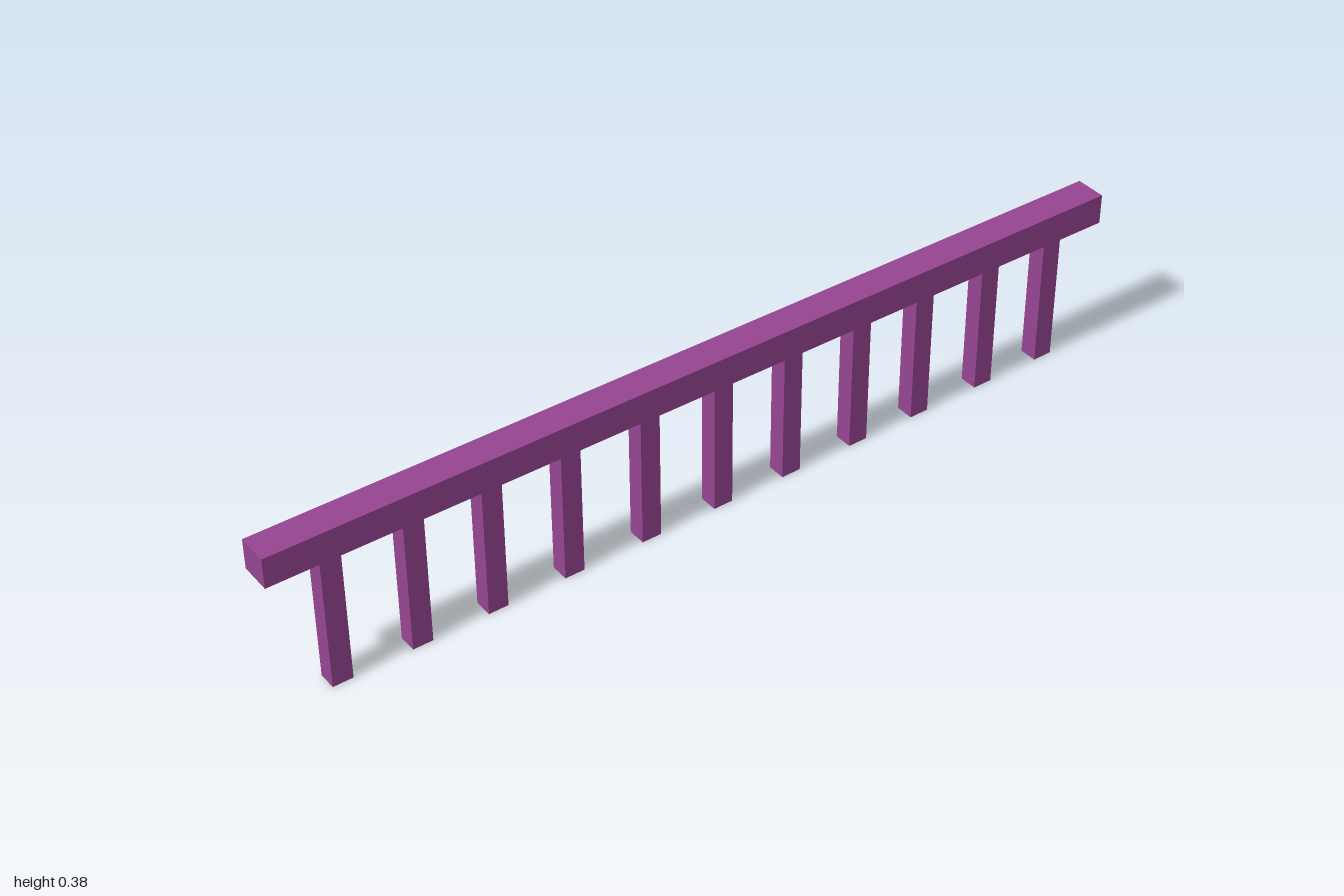
import * as THREE from 'three';

export function createModel() {
  const group = new THREE.Group();
  const material = new THREE.MeshStandardMaterial({ color: 0x964592, flatShading: true });

  const addBox = (name, w, h, d, x, y, z) => {
    const mesh = new THREE.Mesh(new THREE.BoxGeometry(w, h, d), material);
    mesh.name = name;
    mesh.position.set(x, y, z);
    group.add(mesh);
    return mesh;
  };

  // Long handrail, turned very slightly off the line of posts
  const rail = addBox('rail', 0.07, 0.068, 2, 0, 0.344, 0);
  rail.rotation.y = -0.0053;

  // Square posts, a little unevenly spaced
  const postZ = [0.86, 0.684, 0.513, 0.335, 0.15, -0.027, -0.2, -0.375, -0.54, -0.716, -0.886];
  postZ.forEach((z, i) => {
    addBox(`post${i + 1}`, 0.041, 0.31, 0.045, -0.0015 - z * 0.0012, 0.155, z);
  });

  return group;
}
